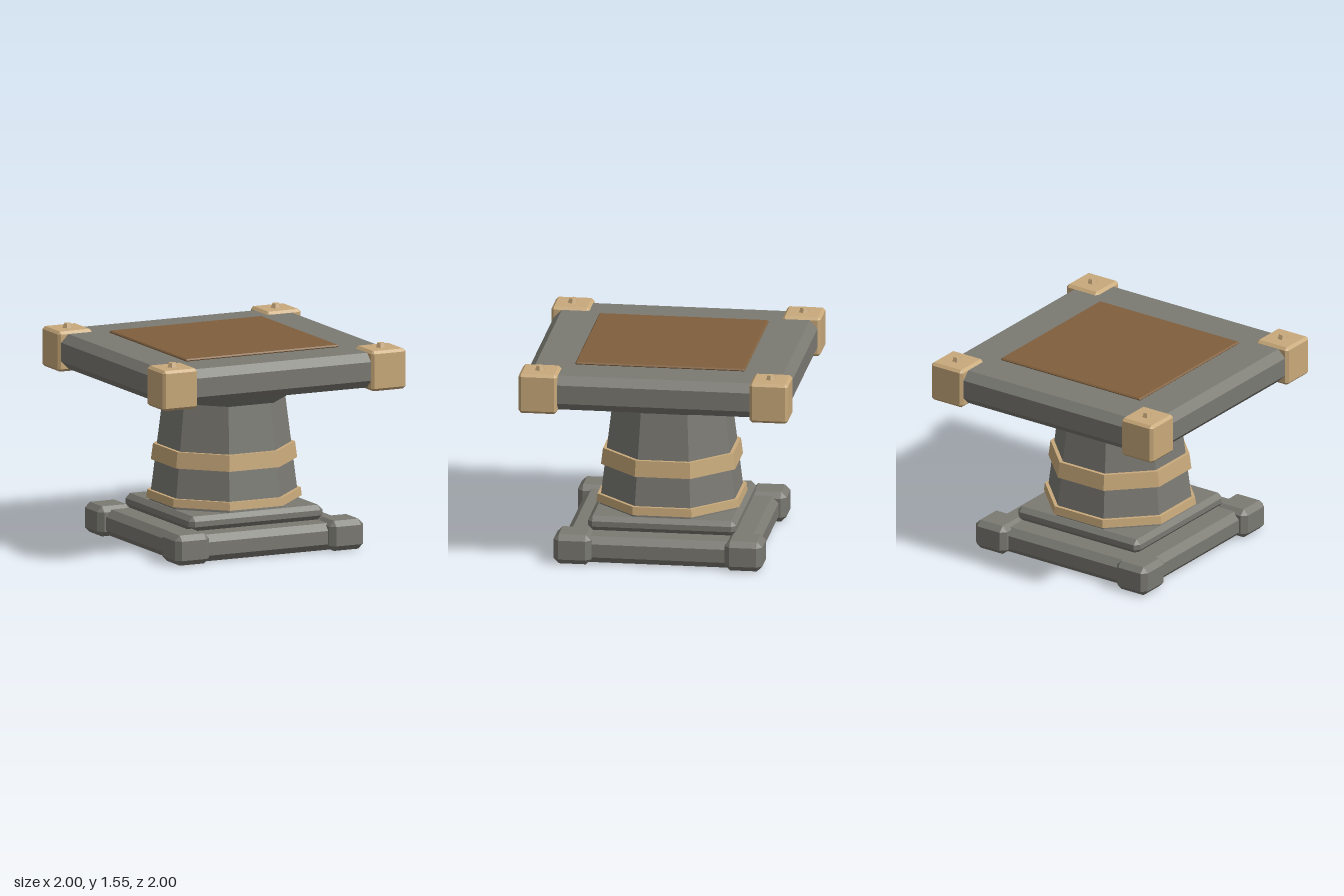
import * as THREE from 'three';
import { ConvexGeometry } from 'three/addons/geometries/ConvexGeometry.js';

const material = (name, color) => {
  const m = new THREE.MeshStandardMaterial({ color });
  m.name = name;
  return m;
};

// Box with every edge cut by a flat chamfer c
function chamferBox(w, h, d, c) {
  const [x, y, z] = [w / 2, h / 2, d / 2];
  const points = [];
  for (const sx of [-1, 1]) for (const sy of [-1, 1]) for (const sz of [-1, 1]) {
    points.push(
      new THREE.Vector3(sx * x, sy * (y - c), sz * (z - c)),
      new THREE.Vector3(sx * (x - c), sy * y, sz * (z - c)),
      new THREE.Vector3(sx * (x - c), sy * (y - c), sz * z)
    );
  }
  return new ConvexGeometry(points);
}

// Faceted frustum; radii are given at the corners
function frustum(rTop, rBottom, h, sides) {
  const g = new THREE.CylinderGeometry(rTop, rBottom, h, sides).rotateY(Math.PI / sides).toNonIndexed();
  g.computeVertexNormals();
  return g;
}

export function createModel() {
  const stone = material('stone', 0x7a7972);
  const brass = material('brass', 0xc8a97a);
  const leather = material('leather', 0x80603e);
  const model = new THREE.Group();
  model.name = 'pedestal';

  const add = (name, geometry, mat, x, y, z) => {
    const mesh = new THREE.Mesh(geometry, mat);
    mesh.name = name;
    mesh.position.set(x, y, z);
    model.add(mesh);
  };
  // Square slab between two heights
  const slab = (name, half, y0, y1, c, mat) =>
    add(name, chamferBox(half * 2, y1 - y0, half * 2, c), mat, 0, (y0 + y1) / 2, 0);
  // Octagonal section between two heights, sized by its half width across flats
  const octagon = (name, bottom, top, y0, y1, mat) => {
    const k = 1 / Math.cos(Math.PI / 8);
    add(name, frustum(top * k, bottom * k, y1 - y0, 8), mat, 0, (y0 + y1) / 2, 0);
  };

  // Stepped base
  slab('baseSlab', 0.72, 0, 0.2, 0.05, stone);
  slab('baseStep', 0.55, 0.2, 0.31, 0.035, stone);

  // Tapered column with its bands and capital
  octagon('column', 0.508, 0.415, 0.3, 1.1, stone);
  octagon('lowerBand', 0.53, 0.523, 0.33, 0.39, brass);
  octagon('upperBand', 0.498, 0.484, 0.615, 0.735, brass);
  octagon('capital', 0.445, 0.623, 1.09, 1.245, stone);

  // Top slab and inset panel
  slab('topSlab', 0.98, 1.24, 1.5, 0.06, stone);
  slab('topPanel', 0.63, 1.495, 1.517, 0.009, leather);

  // Feet, corner caps and studs
  const foot = chamferBox(0.28, 0.225, 0.28, 0.04);
  const cap = chamferBox(0.285, 0.3, 0.285, 0.02);
  const stud = frustum(0.028, 0.04, 0.035, 6);
  for (const sx of [-1, 1]) for (const sz of [-1, 1]) {
    add('foot', foot, stone, sx * 0.635, 0.1125, sz * 0.635);
    add('cornerCap', cap, brass, sx * 0.8575, 1.37, sz * 0.8575);
    add('stud', stud, brass, sx * 0.8575, 1.5355, sz * 0.8575);
  }
  return model;
}
